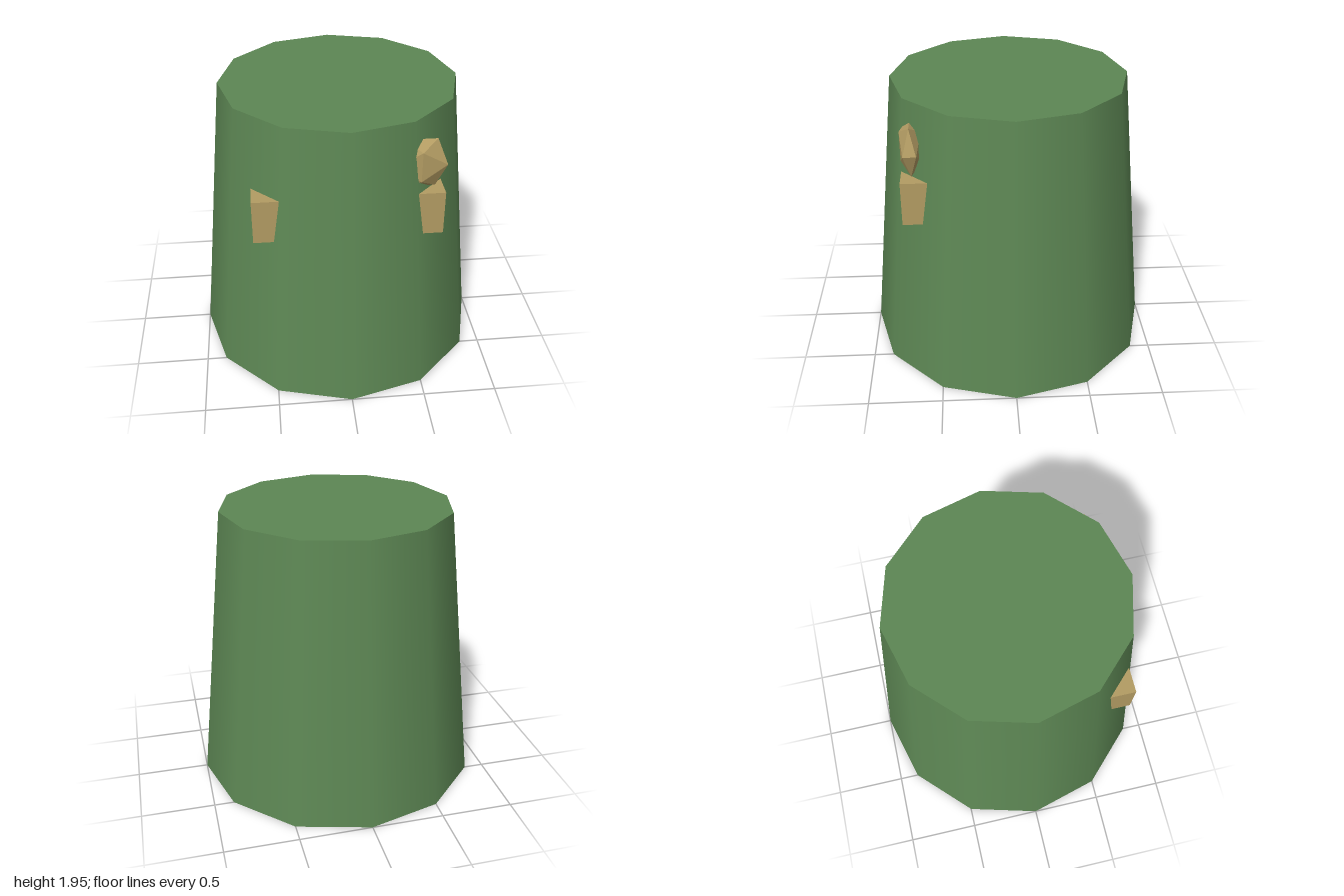
import * as THREE from 'three';

export function createModel() {
  const model = new THREE.Group();
  const green = new THREE.MeshStandardMaterial({ color: 0x5d8754 });
  const tan = new THREE.MeshStandardMaterial({ color: 0xb39c63, flatShading: true });

  function add(name, geometry, material, x, y, z) {
    const mesh = new THREE.Mesh(geometry, material);
    mesh.name = name;
    mesh.position.set(x, y, z);
    model.add(mesh);
    return mesh;
  }

  // Tapered twelve-sided body with smooth sides
  add('body', new THREE.CylinderGeometry(0.795, 1, 1.95, 12), green, 0, 0.975, 0);

  // Blocks sunk into the front corners
  for (const [name, side] of [['leftBlock', 1], ['rightBlock', -1]]) {
    add(name, new THREE.BoxGeometry(0.3, 0.3, 0.3), tan, side * 0.46, 1.31, 0.57);
  }

  // Flattened faceted knob above the left block
  const knob = new THREE.IcosahedronGeometry(0.194, 0);
  knob.scale(1, 1, 0.42);
  add('leftKnob', knob, tan, 0.45, 1.645, 0.648);

  return model;
}
